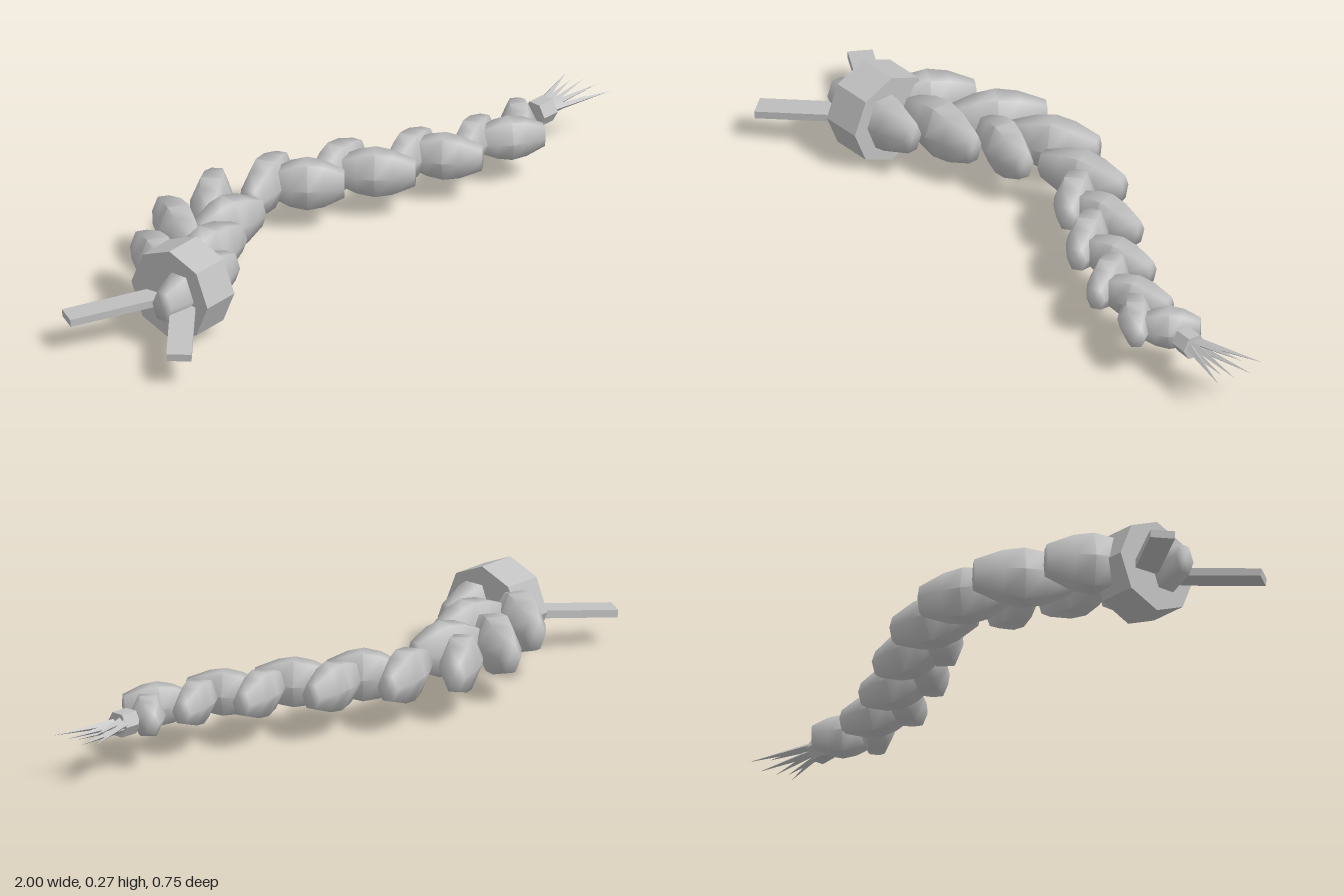
import * as THREE from 'three';
import { toCreasedNormals } from 'three/addons/utils/BufferGeometryUtils.js';

export function createModel() {
  const model = new THREE.Group();
  const grey = new THREE.MeshStandardMaterial({ color: 0xc0c0c0 });
  grey.name = 'light grey';

  const add = (name, geometry) => {
    const mesh = new THREE.Mesh(geometry, grey);
    mesh.name = name;
    model.add(mesh);
    return mesh;
  };

  // Place a mesh built along x so that it spans from a to b
  const span = (mesh, a, b) => {
    const d = new THREE.Vector3().subVectors(b, a);
    const yaw = Math.atan2(-d.z, d.x);
    const pitch = Math.atan2(d.y, Math.hypot(d.x, d.z));
    mesh.rotation.set(0, yaw, pitch, 'YZX');
    mesh.position.addVectors(a, b).multiplyScalar(0.5);
    return d.length();
  };

  // Six-sided barrel, one unit long, its axis along x
  const profile = [[0, -0.5], [0.52, -0.5], [0.88, -0.22], [1, 0], [0.88, 0.22], [0.52, 0.5], [0, 0.5]]
    .map(([r, y]) => new THREE.Vector2(r, y));
  const lobe = toCreasedNormals(new THREE.LatheGeometry(profile, 6).rotateZ(-Math.PI / 2), 1.1);

  // Plaited lobes: start x, z and end x, z
  const backRow = [
    [-0.68, 0.07, -0.60, -0.18], [-0.52, -0.05, -0.42, -0.31], [-0.38, -0.17, -0.195, -0.355],
    [-0.21, -0.19, 0.01, -0.325], [0.01, -0.175, 0.225, -0.26], [0.22, -0.10, 0.42, -0.20],
    [0.42, -0.05, 0.60, -0.165], [0.64, -0.05, 0.73, -0.195],
  ];
  const frontRow = [
    [-0.79, 0.155, -0.485, 0.075], [-0.62, 0.01, -0.36, -0.05], [-0.44, -0.13, -0.22, -0.135],
    [-0.09, -0.25, 0.07, -0.12], [0.10, -0.20, 0.265, -0.05], [0.32, -0.16, 0.465, -0.005],
    [0.52, -0.10, 0.69, -0.015],
  ];
  const addRow = (name, row) => row.forEach(([x0, z0, x1, z1], i) => {
    const mesh = add(name + (i + 1), lobe);
    const length = span(mesh, new THREE.Vector3(x0, 0.14, z0), new THREE.Vector3(x1, 0.14, z1));
    const t = THREE.MathUtils.clamp(((x0 + x1) / 2 + 0.65) / 1.35, 0, 1);
    mesh.scale.set(length, 0.094 - 0.03 * t, 0.064 - 0.014 * t);
  });
  addRow('backLobe', backRow);
  addRow('frontLobe', frontRow);

  // Eight-sided band round the thick end
  const band = add('band', toCreasedNormals(
    new THREE.CylinderGeometry(0.135, 0.135, 0.12, 8).rotateZ(-Math.PI / 2), 0.5));
  band.position.set(-0.665, 0.135, 0.09);
  band.rotation.y = 0.23;

  // Two flat ribbon tails
  const tails = [[-0.66, 0.125, 0.09, -0.988, 0.096, -0.022], [-0.66, 0.125, 0.09, -0.885, 0.09, 0.352]];
  tails.forEach(([ax, ay, az, bx, by, bz], i) => {
    const tail = add('ribbonTail' + (i + 1), new THREE.BoxGeometry(1, 0.022, 0.07));
    tail.scale.x = span(tail, new THREE.Vector3(ax, ay, az), new THREE.Vector3(bx, by, bz));
  });

  // Small tie at the thin end
  const tie = add('endTie', toCreasedNormals(
    new THREE.CylinderGeometry(0.038, 0.038, 0.055, 6).rotateZ(-Math.PI / 2), 0.5));
  tie.position.set(0.775, 0.138, -0.135);
  tie.rotation.y = 0.15;

  // Loose pointed strands: root y, root z and tip x, y, z
  const strand = toCreasedNormals(
    new THREE.ConeGeometry(0.014, 1, 4).rotateZ(-Math.PI / 2), 0.5);
  const strands = [
    [0.145, -0.152, 0.965, 0.145, -0.265], [0.13, -0.148, 0.99, 0.135, -0.22],
    [0.15, -0.14, 0.94, 0.15, -0.215], [0.14, -0.138, 0.995, 0.14, -0.165],
    [0.128, -0.13, 0.95, 0.125, -0.15], [0.14, -0.126, 1.0, 0.138, -0.112],
  ];
  strands.forEach(([y0, z0, x1, y1, z1], i) => {
    const mesh = add('strand' + (i + 1), strand);
    mesh.scale.x = span(mesh, new THREE.Vector3(0.78, y0, z0), new THREE.Vector3(x1, y1, z1));
  });

  return model;
}
